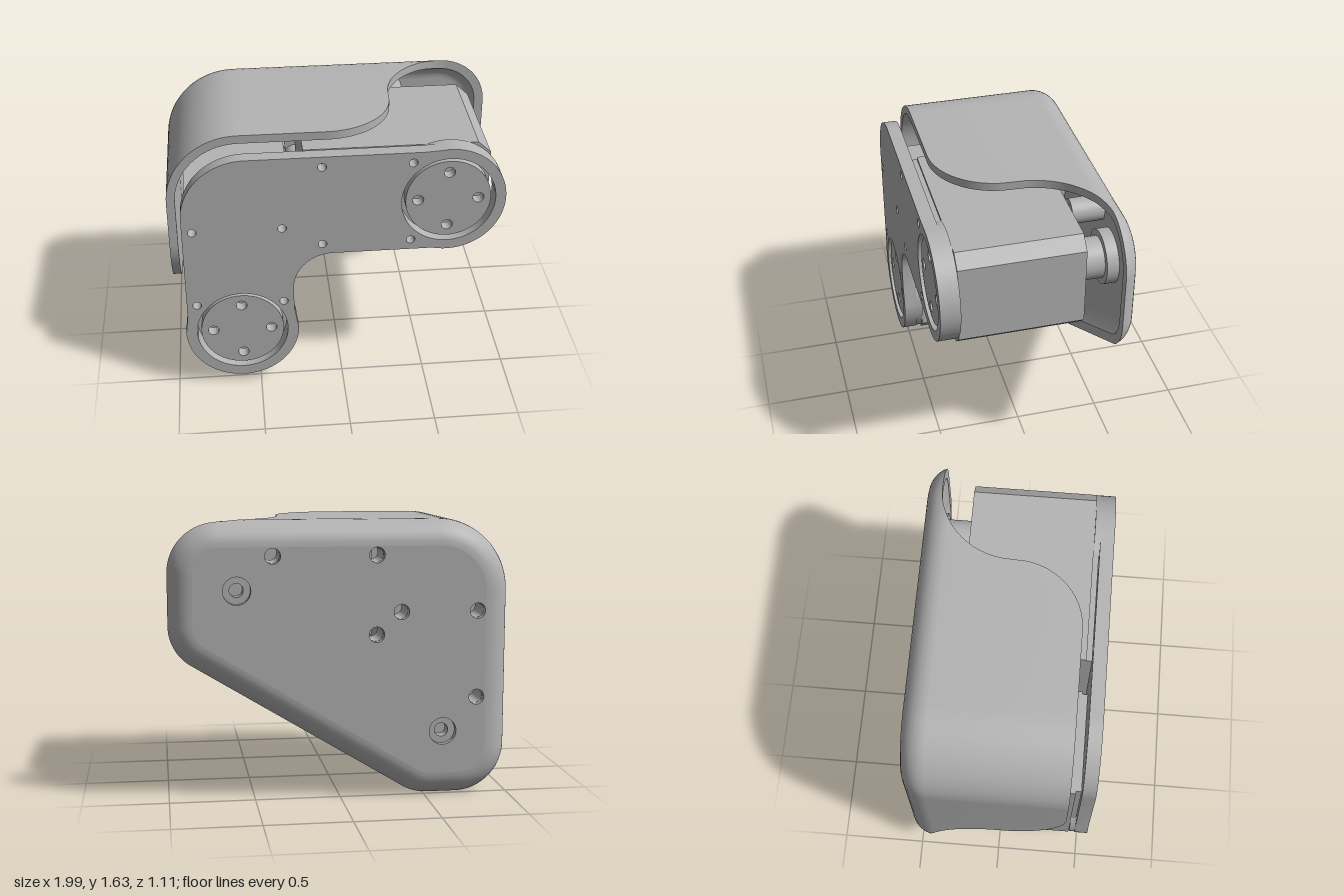
import * as THREE from 'three';
import { toCreasedNormals } from 'three/addons/utils/BufferGeometryUtils.js';

const BACK = -0.555, FLOOR = -0.505, RIM = -0.46, FILLET_Z = -0.405, FILLET = 0.15, WALL = 0.05;

// Rounded polygon sampled counter-clockwise, each sample with its outward normal
function roundedOutline(corners) {
  const out = [], n = corners.length;
  const arcs = corners.map(([x, y, r], i) => {
    const p = corners[(i + n - 1) % n], q = corners[(i + 1) % n];
    const a = Math.atan2(y - p[1], x - p[0]);
    let turn = Math.atan2(q[1] - y, q[0] - x) - a;
    if (turn < 0) turn += Math.PI * 2;
    const off = r * Math.tan(turn / 2);
    const cx = x - Math.cos(a) * off - Math.sin(a) * r;
    const cy = y - Math.sin(a) * off + Math.cos(a) * r;
    const pts = [];
    for (let k = 0; k <= 20; k++) {
      const t = a - Math.PI / 2 + turn * k / 20;
      pts.push({ x: cx + r * Math.cos(t), y: cy + r * Math.sin(t), nx: Math.cos(t), ny: Math.sin(t) });
    }
    return pts;
  });
  arcs.forEach((pts, i) => {
    out.push(...pts);
    const s = pts[20], e = arcs[(i + 1) % n][0];
    const m = Math.ceil(Math.hypot(e.x - s.x, e.y - s.y) / 0.008);
    for (let k = 1; k < m; k++) {
      out.push({ ...s, x: s.x + (e.x - s.x) * k / m, y: s.y + (e.y - s.y) * k / m });
    }
  });
  return out;
}

// Height of the cover's open edge: full depth, then an S-curve down to the rim
function sCurve(t) {
  if (t <= 0) return 0.405;
  if (t < 0.4) return 0.005 + Math.sqrt(0.16 - t * t);
  if (t < 0.84) return -0.02 - Math.sqrt(0.44 ** 2 - (0.84 - t) ** 2);
  return RIM;
}
function edgeZ(p) {
  if (p.y > 1.2) return sCurve(p.x + 0.08);
  if (p.x < -0.6) return sCurve(0.94 - p.y);
  return RIM;
}

// Cross-section of the shell wall as [inset, z], from back face round to inner floor
function wallSection(edge) {
  const arc = (r, d0) => {
    const pts = [], end = Math.acos(Math.min(1, Math.max(0, (FILLET_Z - Math.min(edge, FILLET_Z)) / r)));
    for (let k = 0; k <= 8; k++) {
      const a = end * k / 8;
      pts.push([d0 + r - r * Math.sin(a), FILLET_Z - r * Math.cos(a)]);
    }
    return pts;
  };
  const outer = arc(FILLET, 0), inner = arc(FILLET - WALL, WALL).reverse();
  return [...outer, [outer[8][0], edge], [inner[0][0], edge], ...inner];
}

function shellGeometry(outline) {
  const rings = outline.map(p => wallSection(edgeZ(p)).map(([d, z]) =>
    [p.x - p.nx * d, p.y - p.ny * d, z]));
  const pos = [];
  rings.forEach((ring, i) => {
    const next = rings[(i + 1) % rings.length];
    for (let j = 0; j < ring.length - 1; j++) {
      pos.push(...ring[j], ...next[j], ...next[j + 1], ...ring[j], ...next[j + 1], ...ring[j + 1]);
    }
  });
  const g = new THREE.BufferGeometry();
  g.setAttribute('position', new THREE.Float32BufferAttribute(pos, 3));
  return toCreasedNormals(g, 0.6);
}

function circleHole(x, y, r) {
  return new THREE.Path().absarc(x, y, r, 0, Math.PI * 2, true);
}

function extrude(shape, z0, z1) {
  const g = new THREE.ExtrudeGeometry(shape, { depth: z1 - z0, bevelEnabled: false, curveSegments: 40 });
  g.translate(0, 0, z0);
  return toCreasedNormals(g, 0.5);
}

function discShape(x, y, r) {
  return new THREE.Shape().absarc(x, y, r, 0, Math.PI * 2, false);
}

export function createModel() {
  const model = new THREE.Group();
  const grey = new THREE.MeshStandardMaterial({ color: 0xb4b4b4 });
  grey.name = 'grey';
  const add = (name, geometry, parent = model) => {
    const mesh = new THREE.Mesh(geometry, grey);
    mesh.name = name;
    parent.add(mesh);
    return mesh;
  };

  const pivots = [[0.6, 1.245], [-0.6, 0.4]];
  const coverScrews = [[-0.205, 1.44], [0.395, 1.44], [-0.205, 0.98], [-0.35, 1.11], [-0.8, 1.11], [-0.8, 0.6]];

  // Rear cover: curved wall and drilled back panel
  const cover = new THREE.Group();
  cover.name = 'rearCover';
  model.add(cover);
  const outline = roundedOutline([
    [-1, 0, 0.3], [-0.445, 0, 0.3], [1, 0.88, 0.28], [1, 1.64, 0.3], [-1, 1.64, 0.42]]);
  add('coverWall', shellGeometry(outline), cover);
  const panel = new THREE.Shape(outline.map(p =>
    new THREE.Vector2(p.x - p.nx * FILLET, p.y - p.ny * FILLET)));
  coverScrews.forEach(([x, y]) => panel.holes.push(circleHole(x, y, 0.045)));
  pivots.forEach(([x, y]) => panel.holes.push(circleHole(x, y, 0.08)));
  add('coverPanel', extrude(panel, BACK, FLOOR), cover);

  // Hollow screw posts inside the cover
  coverScrews.forEach(([x, y]) => {
    const post = discShape(x, y, 0.075);
    post.holes.push(circleHole(x, y, 0.044));
    add('screwPost', extrude(post, FLOOR - 0.005, -0.315), cover);
  });

  // Front bracket: elbow-shaped plate with a round lobe at each pivot
  const plate = new THREE.Shape();
  plate.moveTo(-0.935, 0.4);
  plate.absarc(-0.6, 0.4, 0.335, Math.PI, Math.PI * 2, false);
  plate.lineTo(-0.29, 0.55);
  plate.absarc(-0.06, 0.695, 0.23, Math.PI, Math.PI / 2, true);
  plate.lineTo(0.47, 0.925);
  plate.absarc(0.6, 1.245, 0.33, -Math.PI * 0.58, Math.PI * 0.55, false);
  plate.lineTo(0.45, 1.565);
  plate.absarc(-0.55, 1.195, 0.37, Math.PI / 2, Math.PI, false);
  plate.lineTo(-0.92, 0.52);
  plate.closePath();
  for (const [cx, cy] of [[0.135, 1.245], [-0.605, 0.855]]) {
    for (const sx of [-1, 1]) for (const sy of [-1, 1]) {
      plate.holes.push(circleHole(cx + sx * 0.255, cy + sy * 0.255, 0.025));
    }
  }
  pivots.forEach(([x, y]) => plate.holes.push(circleHole(x, y, 0.27)));
  add('frontBracket', extrude(plate, 0.475, 0.555));

  pivots.forEach(([x, y], i) => {
    const drive = new THREE.Group();
    drive.name = i ? 'lowerDrive' : 'upperDrive';
    model.add(drive);

    // Thick rim behind the bracket lobe
    const rim = discShape(x, y, 0.33);
    rim.holes.push(circleHole(x, y, 0.27));
    add('lobeRim', extrude(rim, 0.44, 0.476), drive);

    // Output disc with four bolt holes
    const disc = discShape(x, y, 0.245);
    for (let k = 0; k < 4; k++) {
      const a = k * Math.PI / 2;
      disc.holes.push(circleHole(x + 0.173 * Math.cos(a), y + 0.173 * Math.sin(a), 0.032));
    }
    add('outputDisc', extrude(disc, 0.47, 0.54), drive);

    // Motor body: long box with the two corners at the pivot end chamfered
    const body = new THREE.Shape([
      [-0.82, -0.305], [0.175, -0.305], [0.25, -0.235], [0.25, 0.235], [0.175, 0.305], [-0.82, 0.305],
    ].map(([u, v]) => i ? new THREE.Vector2(x - v, y - u) : new THREE.Vector2(x + u, y + v)));
    add('motorBody', extrude(body, -0.28, 0.44), drive);

    // Raised mounting face that meets the bracket
    const mount = new THREE.Shape([
      [-0.82, -0.29], [-0.1, -0.29], [-0.1, 0.29], [-0.82, 0.29],
    ].map(([u, v]) => i ? new THREE.Vector2(x - v, y - u) : new THREE.Vector2(x + u, y + v)));
    add('mountFace', extrude(mount, 0.43, 0.472), drive);

    // Rear idler boss, flange and washer seen through the cover hole
    add('idlerBoss', extrude(discShape(x, y, 0.122), -0.285, -0.44), drive).geometry =
      extrude(discShape(x, y, 0.122), -0.44, -0.275);
    const flange = discShape(x, y, 0.16);
    flange.holes.push(circleHole(x, y, 0.04));
    add('idlerFlange', extrude(flange, -0.515, -0.435), drive);
  });

  return model;
}
